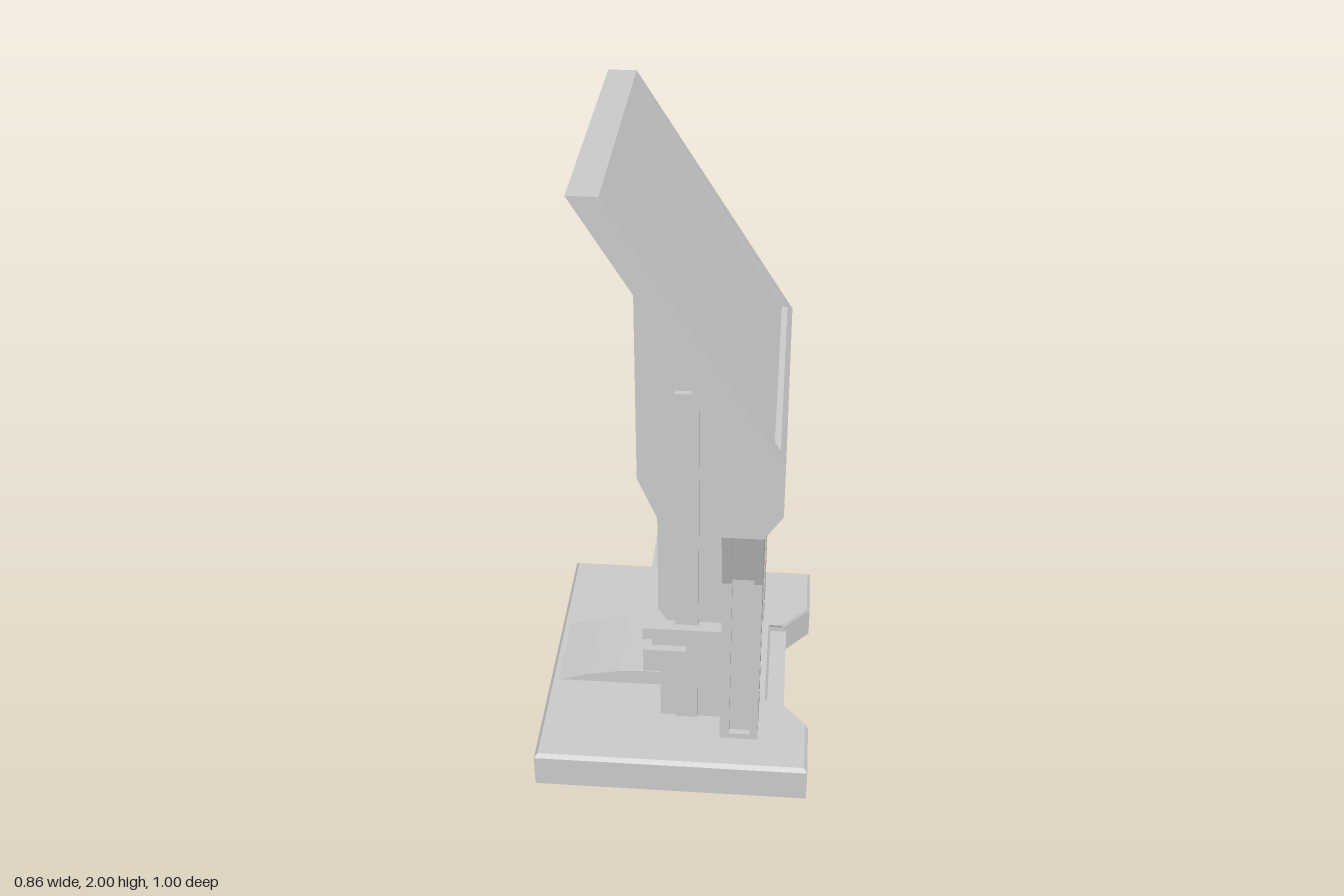
import * as THREE from 'three';

const material = new THREE.MeshStandardMaterial({ color: 0xcccccc, flatShading: true, side: THREE.DoubleSide });

const toShape = (pts) => new THREE.Shape(pts.map(([a, b]) => new THREE.Vector2(a, b)));
const rect = (a0, b0, a1, b1) => [[a0, b0], [a1, b0], [a1, b1], [a0, b1]];

export function createModel() {
  const model = new THREE.Group();

  function add(name, geometry, parent = model) {
    const mesh = new THREE.Mesh(geometry, material);
    mesh.name = name;
    parent.add(mesh);
    return mesh;
  }
  function group(name) {
    const g = new THREE.Group();
    g.name = name;
    model.add(g);
    return g;
  }
  // Side profile (x, y) swept from z0 to z1
  function sweepZ(name, pts, z0, z1, parent, holes = []) {
    const shape = toShape(pts);
    shape.holes = holes.map(toShape);
    const g = new THREE.ExtrudeGeometry(shape, { depth: z1 - z0, bevelEnabled: false });
    return add(name, g.translate(0, 0, z0), parent);
  }
  // Face outline (z, y) swept from x0 to x1
  function sweepX(name, pts, x0, x1, parent, holes = []) {
    const flip = (list) => toShape(list.map(([z, y]) => [-z, y]));
    const shape = flip(pts);
    shape.holes = holes.map(flip);
    const g = new THREE.ExtrudeGeometry(shape, { depth: x1 - x0, bevelEnabled: false });
    return add(name, g.rotateY(Math.PI / 2).translate(x0, 0, 0), parent);
  }
  function box(name, x0, x1, y0, y1, z0, z1, parent) {
    const g = new THREE.BoxGeometry(x1 - x0, y1 - y0, z1 - z0);
    return add(name, g.translate((x0 + x1) / 2, (y0 + y1) / 2, (z0 + z1) / 2), parent);
  }

  // Hollow base: walls, chamfered rim and top plate, open underneath
  const base = group('base');
  const outline = [[-0.43, 0.5], [0.425, 0.5], [0.425, 0.3], [0.335, 0.195], [0.29, 0.195],
    [0.29, -0.195], [0.335, -0.195], [0.425, -0.3], [0.425, -0.5], [-0.43, -0.5]];
  const inset = outline.map(([x, z]) => [x * 0.975, z * 0.978]);
  const rings = [[outline, 0], [outline, 0.108], [inset, 0.12]];
  const verts = [];
  for (let r = 0; r < 2; r++) {
    const [lo, y0] = rings[r], [hi, y1] = rings[r + 1];
    lo.forEach((a, i) => {
      const j = (i + 1) % lo.length, b = lo[j], c = hi[j], d = hi[i];
      const quad = [[a[0], y0, a[1]], [b[0], y0, b[1]], [c[0], y1, c[1]], [d[0], y1, d[1]]];
      for (const k of [0, 1, 2, 0, 2, 3]) verts.push(...quad[k]);
    });
  }
  const walls = new THREE.BufferGeometry();
  walls.setAttribute('position', new THREE.Float32BufferAttribute(verts, 3));
  walls.computeVertexNormals();
  add('baseWalls', walls, base);
  add('baseTop', new THREE.ShapeGeometry(toShape(inset.map(([x, z]) => [x, -z])))
    .rotateX(-Math.PI / 2).translate(0, 0.12, 0), base);
  // Low front ledge with a slot at floor level
  sweepX('frontLedge', [[-0.2, 0], [-0.15, 0], [-0.15, 0.028], [0.15, 0.028], [0.15, 0],
    [0.2, 0], [0.2, 0.09], [-0.2, 0.09]], 0.26, 0.345, base);
  // Sloped cable cover behind the column
  sweepZ('rearRamp', [[-0.42, 0.115], [-0.03, 0.115], [-0.03, 0.175], [-0.13, 0.175],
    [-0.2, 0.17], [-0.3, 0.15]], -0.143, 0.143, base);

  // Column
  const column = group('column');
  sweepZ('columnBody', [[-0.05, 0.085], [0.146, 0.085], [0.146, 1.05], [0.09, 1.1], [0.09, 1.44],
    [-0.055, 1.665], [-0.055, 0.555], [-0.03, 0.515], [-0.03, 0.4], [-0.05, 0.34]], -0.28, 0.28, column);
  for (const s of [-1, 1]) {
    const z = [s * 0.27, s * 0.298].sort((a, b) => a - b);
    sweepZ('sideRib', [[0, 0.13], [0.07, 0.13], [0.07, 1.31], [0.045, 1.34], [0, 1.34]], z[0], z[1], column);
  }

  // Raised back housing with a sunken panel
  const housing = group('backHousing');
  const housingProfile = [[-0.05, 1.66], [-0.13, 1.57], [-0.13, 0.94], [-0.05, 0.75]];
  const sunkenProfile = [[-0.05, 1.66], [-0.13, 1.57], [-0.13, 1.5], [-0.118, 1.5],
    [-0.118, 1.0], [-0.13, 1.0], [-0.13, 0.94], [-0.05, 0.75]];
  sweepZ('housingEdge', housingProfile, -0.14, -0.11, housing);
  sweepZ('housingPanel', sunkenProfile, -0.11, 0.11, housing);
  sweepZ('housingEdge', housingProfile, 0.11, 0.14, housing);

  // Collar around the column, with a groove along the back and sides
  const collar = group('collar');
  box('collarLower', -0.1, 0.145, 0.34, 0.425, -0.325, 0.325, collar);
  box('collarUpper', -0.1, 0.145, 0.468, 0.51, -0.325, 0.325, collar);
  box('collarGroove', -0.073, 0.05, 0.425, 0.468, -0.3, 0.3, collar);
  box('collarFront', 0.035, 0.145, 0.425, 0.468, -0.325, 0.325, collar);

  // Front pillars, flaring outward at the top, with a grooved outer side and a face slot
  for (const s of [-1, 1]) {
    const pillar = group(s > 0 ? 'pillarNear' : 'pillarFar');
    const profile = (cut) => [[0.2, 0.09], [0.375 - cut, 0.09], [0.375 - cut, 0.74], [0.46 - cut, 0.975],
      [0.275, 0.975], [0.2, 0.82]].map(([z, y]) => [s * z, y]);
    const slot = rect(s * 0.28, 0.27, s * 0.33, 0.56);
    sweepX('pillarBack', profile(0), 0.145, 0.175, pillar);
    sweepX('pillarCore', profile(0.02), 0.175, 0.24, pillar);
    sweepX('pillarFace', profile(0), 0.24, 0.265, pillar, [slot]);
    for (const [y0, y1] of [[0.09, 0.14]]) {
      const z = [s * 0.35, s * 0.375].sort((a, b) => a - b);
      box('pillarFoot', 0.175, 0.24, y0, y1, z[0], z[1], pillar);
    }
  }

  // Front service panel between the pillars
  const front = group('frontPanel');
  const panel = [[-0.2, 0.09], [0.2, 0.09], [0.2, 0.82], [0.275, 0.98], [-0.275, 0.98], [-0.2, 0.82]];
  sweepX('panelBack', panel, 0.14, 0.222, front);
  sweepX('panelFace', panel, 0.222, 0.24, front, [
    rect(-0.115, 0.68, 0.115, 0.73),
    rect(-0.128, 0.325, 0.128, 0.635),
    rect(-0.15, 0.115, 0.15, 0.18),
  ]);

  // Head: slanted display, built in slices across the width
  const head = group('head');
  const rear = [[0.145, 0.97], [0.085, 1.05], [0.085, 1.44], [-0.26, 2]];
  const bezel = [[-0.175, 2], [0.318, 1.22]];
  const screen = [[-0.175, 2], [-0.15, 1.96], [-0.162, 1.952], [0.284, 1.247], [0.302, 1.245], [0.318, 1.22]];
  const chin = [[0.318, 1.05], [0.265, 0.97]];
  const slotChin = [[0.318, 1.15], [0.255, 1.15], [0.255, 0.97]];
  const recessChin = [[0.28, 1.195], [0.28, 1.05], [0.24, 0.97]];
  const slices = [
    [0.42, 0.46, bezel, chin, 'headSide'],
    [0.41, 0.42, screen, chin, 'headSide'],
    [0.34, 0.41, screen, slotChin, 'headSlot'],
    [0.275, 0.34, screen, chin, 'headCheek'],
  ];
  for (const [z0, z1, face, lower, name] of slices) {
    const pts = [...rear, ...face, ...lower];
    sweepZ(name, pts, z0, z1, head);
    sweepZ(name, pts, -z1, -z0, head);
  }
  sweepZ('headCentre', [...rear, ...screen, ...recessChin], -0.275, 0.275, head);

  return model;
}
